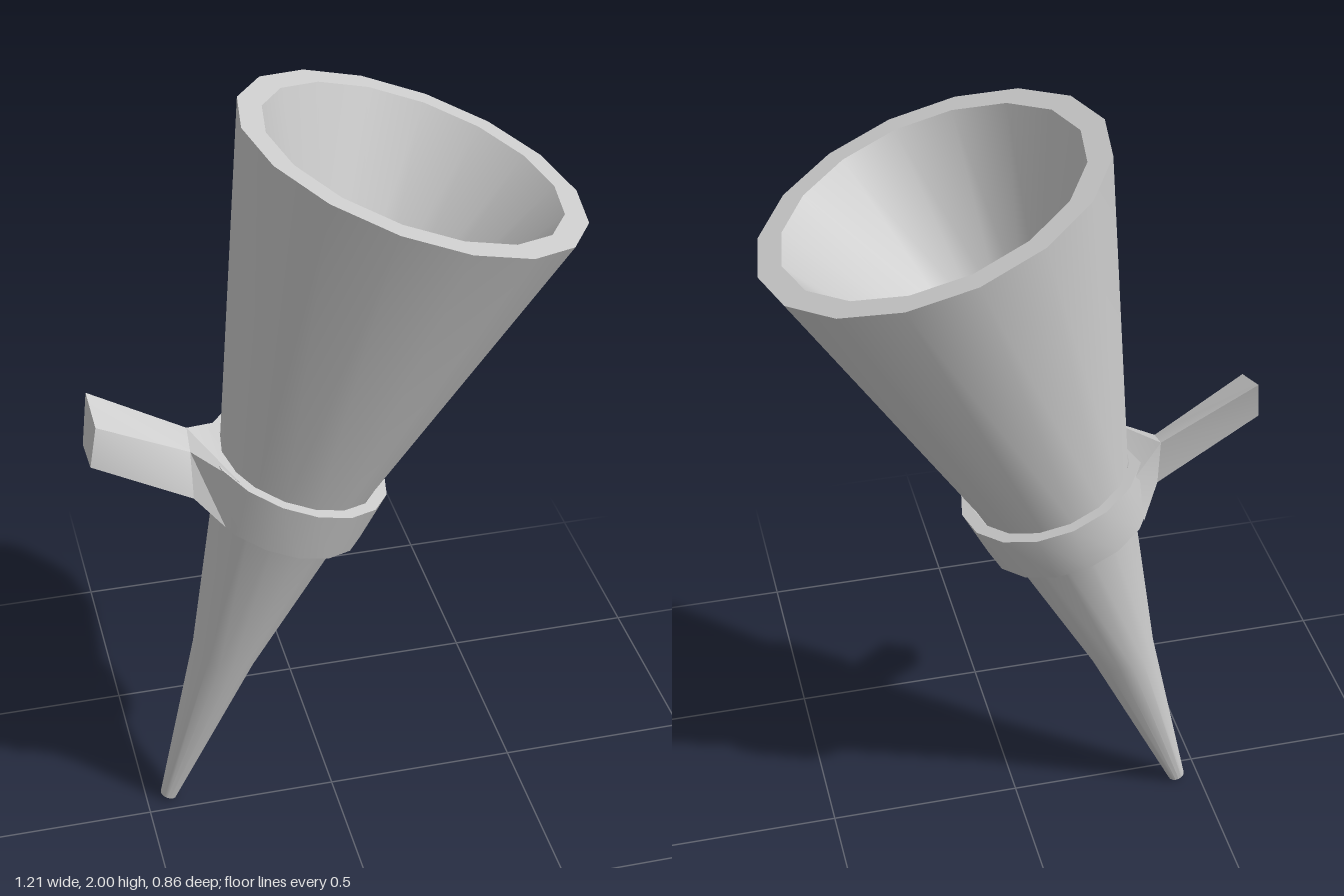
import * as THREE from 'three';
import { toCreasedNormals } from 'three/addons/utils/BufferGeometryUtils.js';

const SIDES = 16;

function lathe(name, profile, material) {
  const points = profile.map(([r, y]) => new THREE.Vector2(r, y));
  const mesh = new THREE.Mesh(toCreasedNormals(new THREE.LatheGeometry(points, SIDES), 0.5), material);
  mesh.name = name;
  return mesh;
}

// Skin of four-cornered cross-sections, capped at both ends
function loft(sections) {
  const index = [];
  for (let s = 0; s < sections.length - 1; s++) {
    for (let i = 0; i < 4; i++) {
      const a = s * 4 + i, b = s * 4 + (i + 1) % 4;
      index.push(a, b, a + 4, b, b + 4, a + 4);
    }
  }
  const e = (sections.length - 1) * 4;
  index.push(0, 2, 1, 0, 3, 2, e, e + 1, e + 2, e, e + 2, e + 3);
  const geometry = new THREE.BufferGeometry();
  geometry.setAttribute('position', new THREE.Float32BufferAttribute(sections.flat(2), 3));
  geometry.setIndex(index);
  return toCreasedNormals(geometry, 0.5);
}

export function createModel() {
  const model = new THREE.Group();
  const grey = new THREE.MeshStandardMaterial({ color: 0xcccccc });
  const greyBothSides = new THREE.MeshStandardMaterial({ color: 0xcccccc, side: THREE.DoubleSide });

  // Leaning group: its y axis runs from the tip to the centre of the rim
  const leaning = new THREE.Group();
  leaning.name = 'torchBody';
  const tip = new THREE.Vector3(-0.44, 0.008, -0.055);
  const axis = new THREE.Vector3(0.195, 1.86, 0).sub(tip).normalize();
  leaning.position.copy(tip);
  leaning.quaternion.setFromUnitVectors(new THREE.Vector3(0, 1, 0), axis);
  model.add(leaning);

  // Long cone with a hollow, flat-floored bowl
  const cone = lathe('cone', [
    [0, 0], [0.022, 0], [0.085, 0.5], [0.2, 1.1], [0.43, 1.957],
    [0.37, 1.957], [0.153, 1.54], [0, 1.54],
  ], grey);
  cone.rotation.y = 0.04;

  // Slightly flared collar around the cone
  const collar = lathe('collar', [
    [0.19, 0.965], [0.215, 0.965], [0.236, 1.105], [0.205, 1.105], [0.19, 0.965],
  ], grey);
  leaning.add(cone, collar);

  // Bracket: spreads from the collar, narrows to a neck, then rises to its end
  // Corners: top back, top front, bottom front, bottom back
  const bracket = new THREE.Mesh(loft([
    [[-0.255, 1.11, -0.16], [-0.255, 1.11, 0.11], [-0.29, 0.975, 0.10], [-0.29, 0.975, -0.15]],
    [[-0.345, 1.155, -0.085], [-0.35, 1.13, -0.015], [-0.355, 1.03, 0.04], [-0.345, 1.025, -0.07]],
    [[-0.585, 1.29, -0.09], [-0.58, 1.255, 0.015], [-0.6, 1.155, 0.03], [-0.605, 1.17, -0.05]],
  ]), greyBothSides);
  bracket.name = 'bracket';
  model.add(bracket);

  return model;
}
